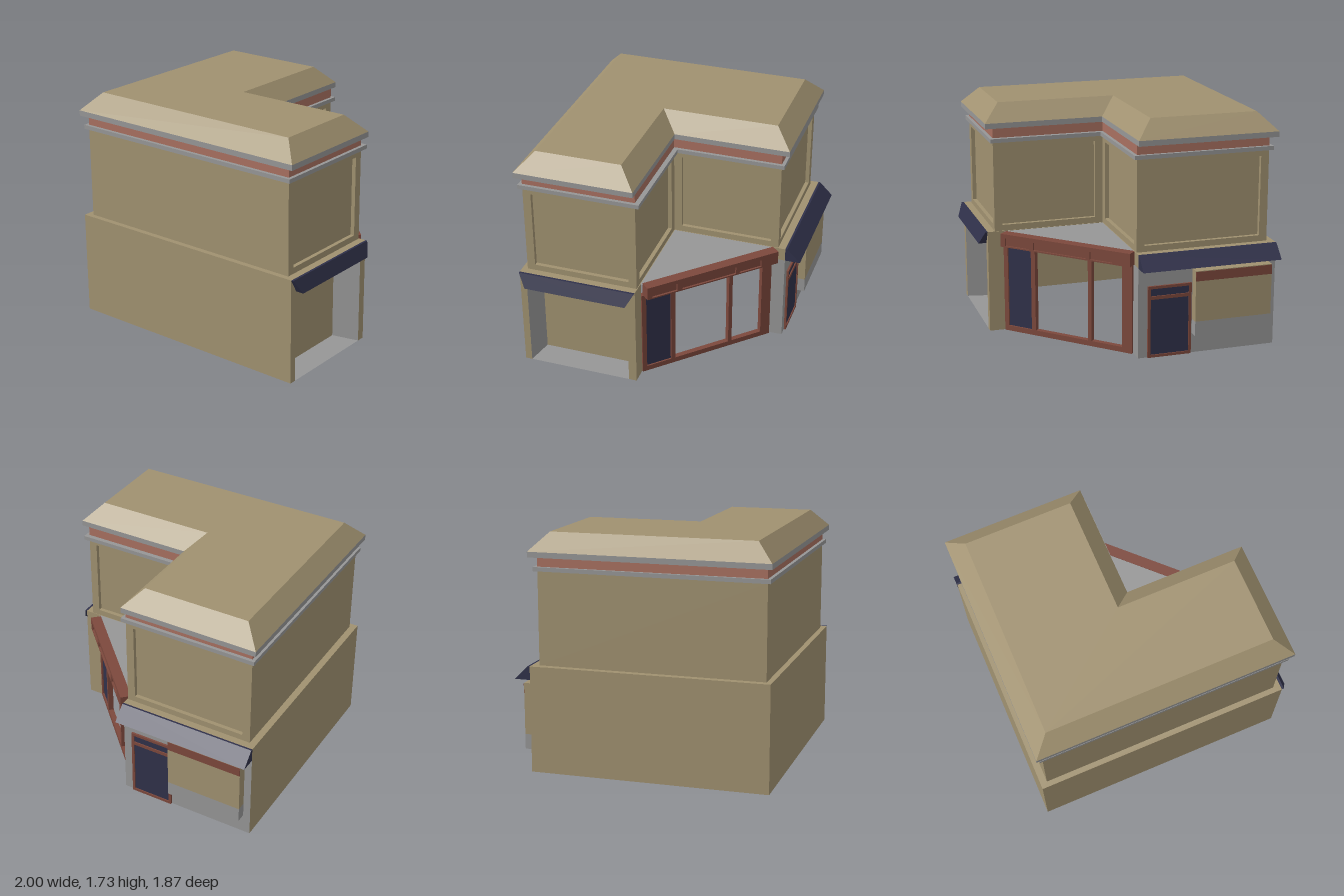
import * as THREE from 'three';
import { ConvexGeometry } from 'three/addons/geometries/ConvexGeometry.js';

const mat = (name, color) => new THREE.MeshStandardMaterial({ name, color, side: THREE.DoubleSide });

export function createModel() {
  const tan = mat('tan plaster', 0xa09170);
  const gray = mat('gray stone', 0x969696);
  const brick = mat('brick band', 0xa87060);
  const brown = mat('red brown wood', 0x7c483c);
  const navy = mat('navy', 0x30314a);

  const model = new THREE.Group();
  model.name = 'cornerShop';

  const add = (name, geometry, material, parent = model) => {
    const mesh = new THREE.Mesh(geometry, material);
    mesh.name = name;
    parent.add(mesh);
    return mesh;
  };
  // Box given by its limits on each axis
  const box = (name, material, x0, x1, y0, y1, z0, z1, parent = model) =>
    add(name, new THREE.BoxGeometry(x1 - x0, y1 - y0, z1 - z0)
      .translate((x0 + x1) / 2, (y0 + y1) / 2, (z0 + z1) / 2), material, parent);
  // Four-cornered face
  const quad = (name, material, a, b, c, d) => {
    const g = new THREE.BufferGeometry();
    g.setAttribute('position', new THREE.Float32BufferAttribute([a, b, c, a, c, d].flat(), 3));
    g.computeVertexNormals();
    return add(name, g, material);
  };
  // Upright walls along a floor plan path of [x, z], optionally leaning to a second path
  const walls = (name, material, path, y0, y1, closed = false, topPath = path) => {
    const pos = [];
    const n = path.length;
    for (let i = 0; i < (closed ? n : n - 1); i++) {
      const j = (i + 1) % n;
      const at = (p, y) => [p[0], y, p[1]];
      const a = at(path[i], y0), b = at(path[j], y0);
      const c = at(topPath[j], y1), d = at(topPath[i], y1);
      pos.push(...a, ...b, ...c, ...a, ...c, ...d);
    }
    const g = new THREE.BufferGeometry();
    g.setAttribute('position', new THREE.Float32BufferAttribute(pos, 3));
    g.computeVertexNormals();
    return add(name, g, material);
  };
  const planShape = (path, hole) => {
    const pts = (p) => p.map(([x, z]) => new THREE.Vector2(x, -z));
    const s = new THREE.Shape(pts(path));
    if (hole) s.holes.push(new THREE.Path(pts(hole)));
    return s;
  };
  const flat = (name, material, y, path, hole) =>
    add(name, new THREE.ShapeGeometry(planShape(path, hole)).rotateX(-Math.PI / 2).translate(0, y, 0), material);
  const ring = (name, material, y0, y1, path, hole) =>
    add(name, new THREE.ExtrudeGeometry(planShape(path, hole), { depth: y1 - y0, bevelEnabled: false })
      .rotateX(-Math.PI / 2).translate(0, y0, 0), material);
  // Rectangle with rectangular holes, each [x0, x1, y0, y1], extruded along z
  const rect = (T, [x0, x1, y0, y1]) =>
    new T([[x0, y0], [x1, y0], [x1, y1], [x0, y1]].map(([x, y]) => new THREE.Vector2(x, y)));
  const frameGeometry = (outer, holes, depth) => {
    const s = rect(THREE.Shape, outer);
    s.holes = holes.map((h) => rect(THREE.Path, h));
    return new THREE.ExtrudeGeometry(s, { depth, bevelEnabled: false });
  };
  // L-shaped plan: left, right, back, front, and the inner corner
  const plan = (l, r, b, f, nx, nz) => [[l, f], [r, f], [r, nz], [nx, nz], [nx, b], [l, b]];

  const ground = plan(-1, 0.94, -0.82, 0.93, 0.05, 0.045);
  const upper = plan(-0.95, 0.885, -0.765, 0.89, 0.045, 0.05);
  const ledge = plan(-0.975, 0.91, -0.79, 0.915, 0.07, 0.015);

  // Ground floor shell
  walls('groundWalls', tan, [[-1, -0.71], [-1, 0.93], [0.94, 0.93], [0.94, 0.88]], 0, 0.78);
  walls('groundCornerWall', tan, [[0.94, 0.105], [0.94, 0.045], [0.81, 0.045]], 0, 0.78);
  walls('recessLintel', tan, [[0.94, 0.88], [0.94, 0.105]], 0.68, 0.78);
  flat('setback', tan, 0.78, ground, upper);

  // Splayed recess in the right wall
  const out = [0.94, 0.88, 0.105, 0.68], inn = [0.74, 0.84, 0.15, 0.65];
  const corner = ([x, zf, zb, top], front, high) => [x, high ? top : 0, front ? zf : zb];
  const edges = [[[1, 0], [0, 0]], [[0, 0], [0, 1]], [[0, 1], [1, 1]], [[1, 1], [1, 0]]];
  ['recessFloor', 'recessBackJamb', 'recessCeiling', 'recessFrontJamb'].forEach((name, i) => {
    const [p, q] = edges[i];
    quad(name, gray, corner(out, ...p), corner(out, ...q), corner(inn, ...q), corner(inn, ...p));
  });
  quad('recessPanel', tan, corner(inn, 1, 0), corner(inn, 0, 0), corner(inn, 0, 1), corner(inn, 1, 1));

  // Awning over the recess
  const awningPts = [];
  for (const s of [-1, 1]) {
    for (const [x, y, half] of [[0.94, 0.78, 0.442], [0.957, 0.78, 0.442], [1, 0.68, 0.385], [0.94, 0.68, 0.385]]) {
      awningPts.push(new THREE.Vector3(x, y, 0.488 + s * half));
    }
  }
  add('rightAwning', new ConvexGeometry(awningPts), navy);

  // Thick back wall
  box('backWall', [gray, tan, tan, tan, tan, gray], -1, 0.05, 0, 0.68, -0.82, -0.71);
  box('backWallTop', tan, -1, 0.05, 0.68, 0.779, -0.82, -0.71);
  const backAwning = [];
  for (const x of [-1, 0.05]) {
    for (const [y, z] of [[0.78, -0.82], [0.78, -0.835], [0.68, -0.935], [0.68, -0.82]]) {
      backAwning.push(new THREE.Vector3(x, y, z));
    }
  }
  add('backAwning', new ConvexGeometry(backAwning), navy);

  // Back door
  add('doorFrame', frameGeometry([-0.35, -0.02, 0, 0.54],
    [[-0.33, -0.04, 0.02, 0.44], [-0.33, -0.04, 0.465, 0.52]], 0.015).translate(0, 0, -0.835), brown);
  box('doorLeaf', navy, -0.33, -0.04, 0.02, 0.44, -0.827, -0.82);
  box('doorTransom', navy, -0.33, -0.04, 0.465, 0.52, -0.827, -0.82);

  // Projecting window bay with stone base
  box('bayBase', gray, -0.945, -0.36, 0.15, 0.26, -0.89, -0.82);
  box('bayBody', tan, -0.945, -0.36, 0.26, 0.64, -0.89, -0.82);
  box('bayHeader', brown, -0.945, -0.36, 0.565, 0.635, -0.893, -0.889);

  // Diagonal shopfront across the inner corner; local x runs along it, -z faces out
  const shop = new THREE.Group();
  shop.name = 'shopfront';
  shop.position.set(0.05, 0, -0.71);
  shop.rotation.y = -Math.PI / 4;
  model.add(shop);
  box('bottomRail', brown, 0, 1.075, 0, 0.04, -0.02, 0.02, shop);
  for (const [a, b] of [[0, 0.08], [0.33, 0.36], [0.805, 0.84], [1.04, 1.075]]) {
    box('post', brown, a, b, 0.04, 0.68, -0.02, 0.02, shop);
  }
  box('shopDoor', navy, 0.84, 1.04, 0.04, 0.68, -0.008, 0.008, shop);
  box('beam', brown, -0.014, 1.06, 0.68, 0.78, -0.07, -0.005, shop);
  add('beamFace', frameGeometry([-0.014, 1.06, 0.68, 0.78],
    [[0.127, 0.31, 0.69, 0.748], [0.34, 0.78, 0.69, 0.748], [0.82, 1.02, 0.69, 0.748]], 0.015)
    .translate(0, 0, -0.085), brown, shop);
  flat('shopRoof', gray, 0.776, [[0.045, 0.05], [0.83, 0.05], [0.045, -0.735]]);

  // Upper floor: plain front and left walls
  walls('upperWalls', tan, [[-0.95, -0.765], [-0.95, 0.89], [0.885, 0.89]], 0.78, 1.46);
  // Upper floor: walls with sunken panels, [start x, z, length, turn]
  const panels = [
    ['rightPanelWall', 0.885, 0.89, 0.84, Math.PI / 2],
    ['innerBackPanelWall', 0.885, 0.05, 0.84, Math.PI],
    ['innerRightPanelWall', 0.045, 0.05, 0.815, Math.PI / 2],
    ['backPanelWall', 0.045, -0.765, 0.995, Math.PI],
  ];
  for (const [name, x, z, len, turn] of panels) {
    const wall = new THREE.Group();
    wall.name = name;
    wall.position.set(x, 0, z);
    wall.rotation.y = turn;
    model.add(wall);
    add('panelFrame', frameGeometry([0, len, 0.78, 1.46], [[0.06, len - 0.06, 0.825, 1.415]], 0.03)
      .translate(0, 0, -0.03), tan, wall);
    add('sunkenPanel', new THREE.PlaneGeometry(len - 0.12, 0.59).translate(len / 2, 1.12, -0.03), tan, wall);
  }

  // Cornice: ledge, brick band and eave
  ring('ledge', gray, 1.46, 1.49, ledge, upper);
  walls('brickBand', brick, upper, 1.49, 1.56, true);
  ring('eave', gray, 1.56, 1.6, ground, upper);

  // Sloped roof with flat top
  const crown = ground.map(([x, z]) => [x < -0.5 ? x + 0.125 : x - 0.125, z > 0.5 ? z - 0.125 : z + 0.125]);
  walls('roofSlopes', tan, ground, 1.6, 1.73, true, crown);
  flat('roofTop', tan, 1.73, crown);

  return model;
}
